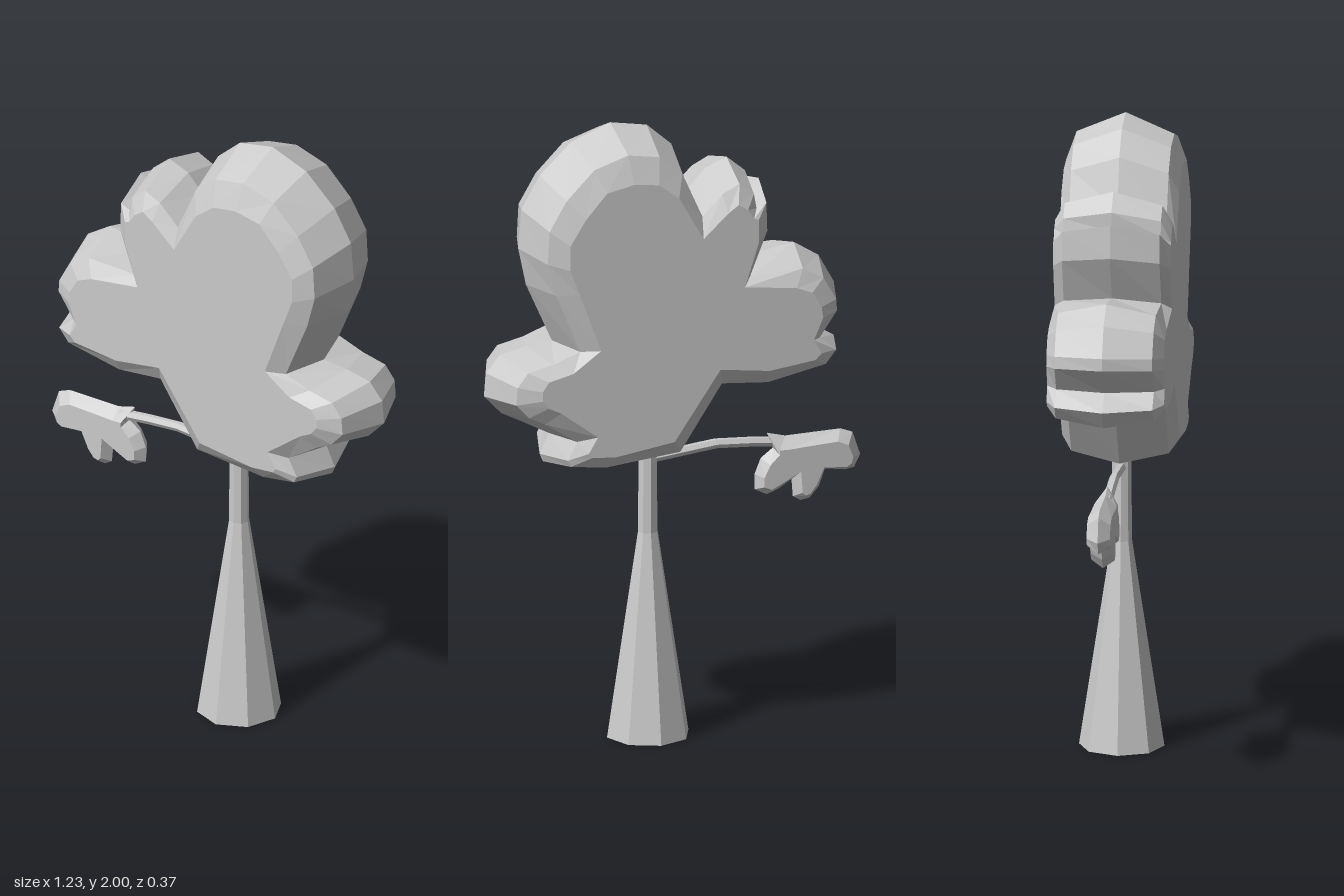
import * as THREE from 'three';

const material = new THREE.MeshStandardMaterial({ color: 0xcccccc, flatShading: true });

// Pair a flat x,y list into points that run counter-clockwise
function points(list) {
  const out = [];
  for (let i = 0; i < list.length; i += 2) out.push(new THREE.Vector2(list[i], list[i + 1]));
  return THREE.ShapeUtils.isClockWise(out) ? out.reverse() : out;
}

// Slab bulging to `rim` at z = 0 and narrowing to `face` front and back.
// steps: [z, blend from rim to face], listed from back to front.
function bevelledSlab(name, rim, face, steps) {
  const n = rim.length, pos = [], index = [];
  for (const [z, t] of steps) {
    rim.forEach((p, i) => {
      const q = p.clone().lerp(face[i], t);
      pos.push(q.x, q.y, z);
    });
  }
  for (let s = 0; s < steps.length - 1; s++) {
    for (let i = 0; i < n; i++) {
      const a = s * n + i, b = s * n + (i + 1) % n;
      index.push(a, b, b + n, a, b + n, a + n);
    }
  }
  const top = (steps.length - 1) * n;
  for (const [a, b, c] of THREE.ShapeUtils.triangulateShape(face, [])) {
    index.push(top + a, top + b, top + c, c, b, a);
  }
  const g = new THREE.BufferGeometry();
  g.setAttribute('position', new THREE.Float32BufferAttribute(pos, 3));
  g.setIndex(index);
  const flat = g.toNonIndexed();
  flat.computeVertexNormals();
  const mesh = new THREE.Mesh(flat, material);
  mesh.name = name;
  return mesh;
}

// Lobed crown outline: widest rim, and the flat face inside it
const crownRim = points([
  0.2, 2, 0.325, 1.95, 0.43, 1.85, 0.49, 1.745, 0.5, 1.62, 0.475, 1.5, 0.39, 1.31,
  0.475, 1.3, 0.56, 1.28, 0.605, 1.225, 0.612, 1.15, 0.555, 1.09, 0.495, 1.06, 0.4, 1.01,
  0.43, 0.945, 0.42, 0.92, 0.28, 0.9, 0, 0.925, -0.125, 1.125,
  -0.27, 1.12, -0.485, 1.175, -0.53, 1.235, -0.455, 1.28,
  -0.53, 1.37, -0.53, 1.41, -0.48, 1.5, -0.4, 1.55, -0.225, 1.52,
  -0.29, 1.665, -0.285, 1.77, -0.24, 1.74, -0.24, 1.8, -0.18, 1.85, -0.11, 1.82,
  -0.055, 1.76, 0, 1.91, 0.08, 1.98,
]);
const crownFace = points([
  0.18, 1.85, 0.27, 1.83, 0.34, 1.75, 0.39, 1.67, 0.39, 1.59, 0.36, 1.51, 0.29, 1.32,
  0.38, 1.255, 0.46, 1.235, 0.48, 1.205, 0.48, 1.175, 0.46, 1.15, 0.42, 1.13, 0.3, 1.04,
  0.33, 0.99, 0.32, 0.975, 0.24, 0.97, 0.05, 1, -0.1, 1.22,
  -0.26, 1.2, -0.41, 1.22, -0.43, 1.24, -0.405, 1.285,
  -0.435, 1.355, -0.43, 1.39, -0.4, 1.44, -0.35, 1.46, -0.18, 1.48,
  -0.225, 1.62, -0.225, 1.695, -0.21, 1.7, -0.19, 1.73, -0.16, 1.75, -0.125, 1.725,
  -0.045, 1.65, 0.035, 1.79, 0.1, 1.84,
]);

// Small leaf cluster at the end of the branch
const leafRim = points([
  -0.31, 0.94, -0.37, 0.925, -0.55, 0.93, -0.59, 0.915, -0.615, 0.84, -0.595, 0.8,
  -0.565, 0.795, -0.5, 0.805, -0.48, 0.75, -0.45, 0.715, -0.42, 0.71, -0.395, 0.725,
  -0.39, 0.79, -0.35, 0.755, -0.31, 0.74, -0.27, 0.76, -0.27, 0.81, -0.29, 0.86, -0.33, 0.89,
]);
const leafFace = points([
  -0.34, 0.89, -0.37, 0.89, -0.53, 0.9, -0.565, 0.885, -0.58, 0.845, -0.575, 0.825,
  -0.56, 0.815, -0.485, 0.82, -0.46, 0.765, -0.44, 0.74, -0.425, 0.735, -0.415, 0.745,
  -0.41, 0.815, -0.345, 0.78, -0.315, 0.765, -0.29, 0.775, -0.29, 0.805, -0.31, 0.845, -0.34, 0.875,
]);

export function createModel() {
  const tree = new THREE.Group();
  tree.name = 'tree';

  tree.add(bevelledSlab('crown', crownRim, crownFace,
    [[-0.183, 1], [-0.152, 0.42], [0, 0], [0.152, 0.42], [0.183, 1]]));
  tree.add(bevelledSlab('branchLeaves', leafRim, leafFace,
    [[-0.043, 1], [-0.005, 0], [0.03, 1]]));

  // Eight-sided trunk: flared foot, thin neck running into the crown
  const profile = [[0, 0], [0.133, 0], [0.032, 0.66], [0.029, 1], [0, 1]];
  const trunk = new THREE.Mesh(
    new THREE.LatheGeometry(profile.map(([r, y]) => new THREE.Vector2(r, y)), 8), material);
  trunk.name = 'trunk';
  trunk.position.x = 0.077;
  tree.add(trunk);

  // Slightly arched branch
  const path = new THREE.CurvePath();
  const knots = [[0.07, 0.895], [-0.165, 0.923], [-0.36, 0.905]].map(([x, y]) => new THREE.Vector3(x, y, 0));
  path.add(new THREE.LineCurve3(knots[0], knots[1]));
  path.add(new THREE.LineCurve3(knots[1], knots[2]));
  const branch = new THREE.Mesh(new THREE.TubeGeometry(path, 4, 0.016, 6), material);
  branch.name = 'branch';
  tree.add(branch);

  return tree;
}
